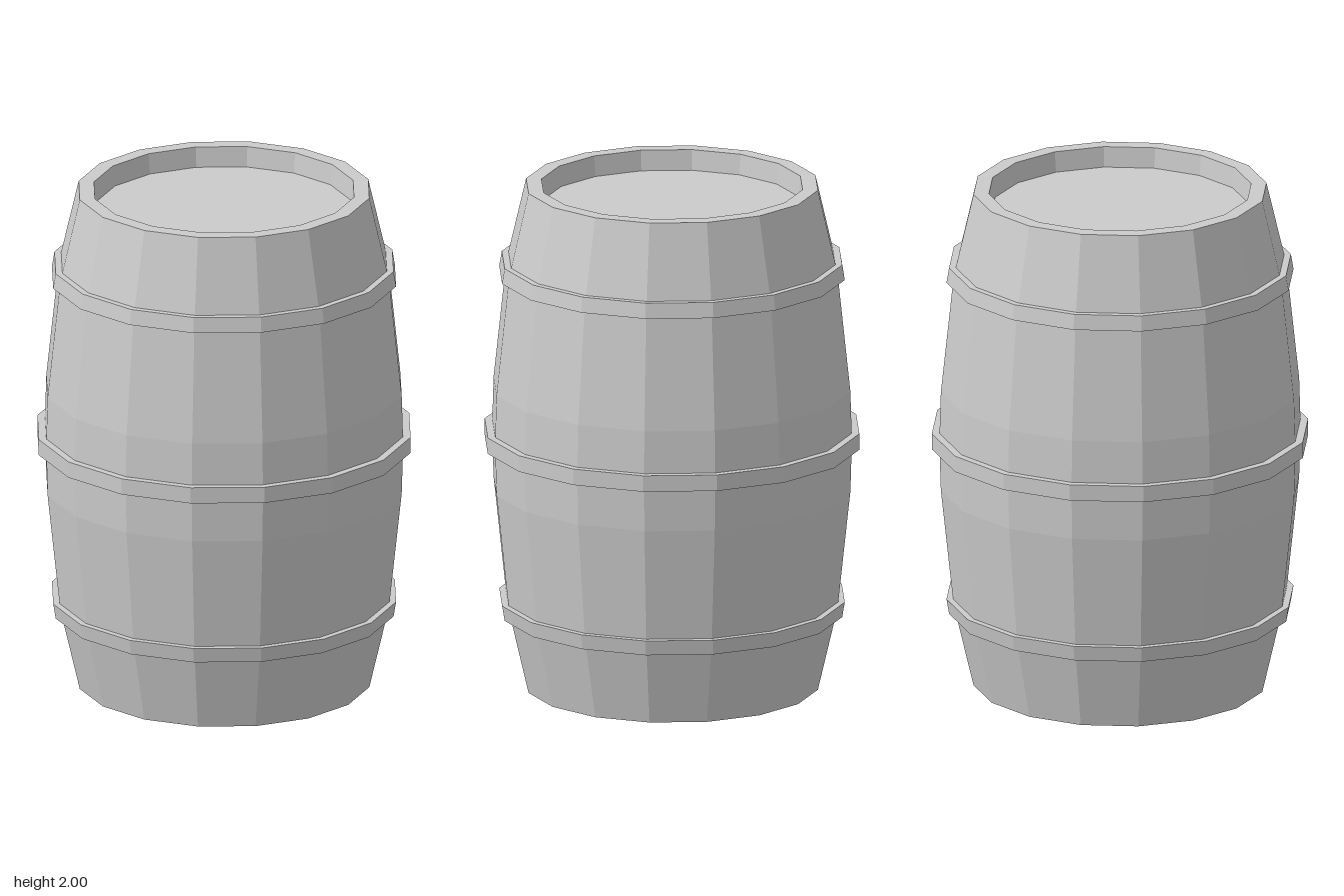
import * as THREE from 'three';

const SIDES = 16;
const material = new THREE.MeshStandardMaterial({ color: 0xcccccc, flatShading: true });

// Faceted solid of revolution from [radius, height] points, listed bottom to top along the outside
function lathe(name, points) {
  const profile = points.map(([r, y]) => new THREE.Vector2(r, y));
  const mesh = new THREE.Mesh(new THREE.LatheGeometry(profile, SIDES), material);
  mesh.name = name;
  return mesh;
}

// Hoop with a rectangular section, tapering from bottom to top radius
function hoop(name, bottom, top, rBottom, rTop) {
  const inner = 0.63;
  return lathe(name, [[inner, bottom], [rBottom, bottom], [rTop, top], [inner, top]]);
}

export function createModel() {
  const barrel = new THREE.Group();
  barrel.name = 'barrel';

  // Bulging staves with a recessed head at both ends
  const lowerHalf = [[0, 0.08], [0.5, 0.08], [0.51, 0], [0.57, 0], [0.647, 0.33], [0.697, 0.8]];
  const upperHalf = lowerHalf.map(([r, y]) => [r, 2 - y]).reverse();
  barrel.add(lathe('staves', [...lowerHalf, [0.703, 1], ...upperHalf]));

  // Three hoops
  barrel.add(
    hoop('lowerHoop', 0.295, 0.355, 0.665, 0.675),
    hoop('middleHoop', 0.968, 1.032, 0.732, 0.732),
    hoop('upperHoop', 1.645, 1.705, 0.675, 0.665),
  );
  return barrel;
}
